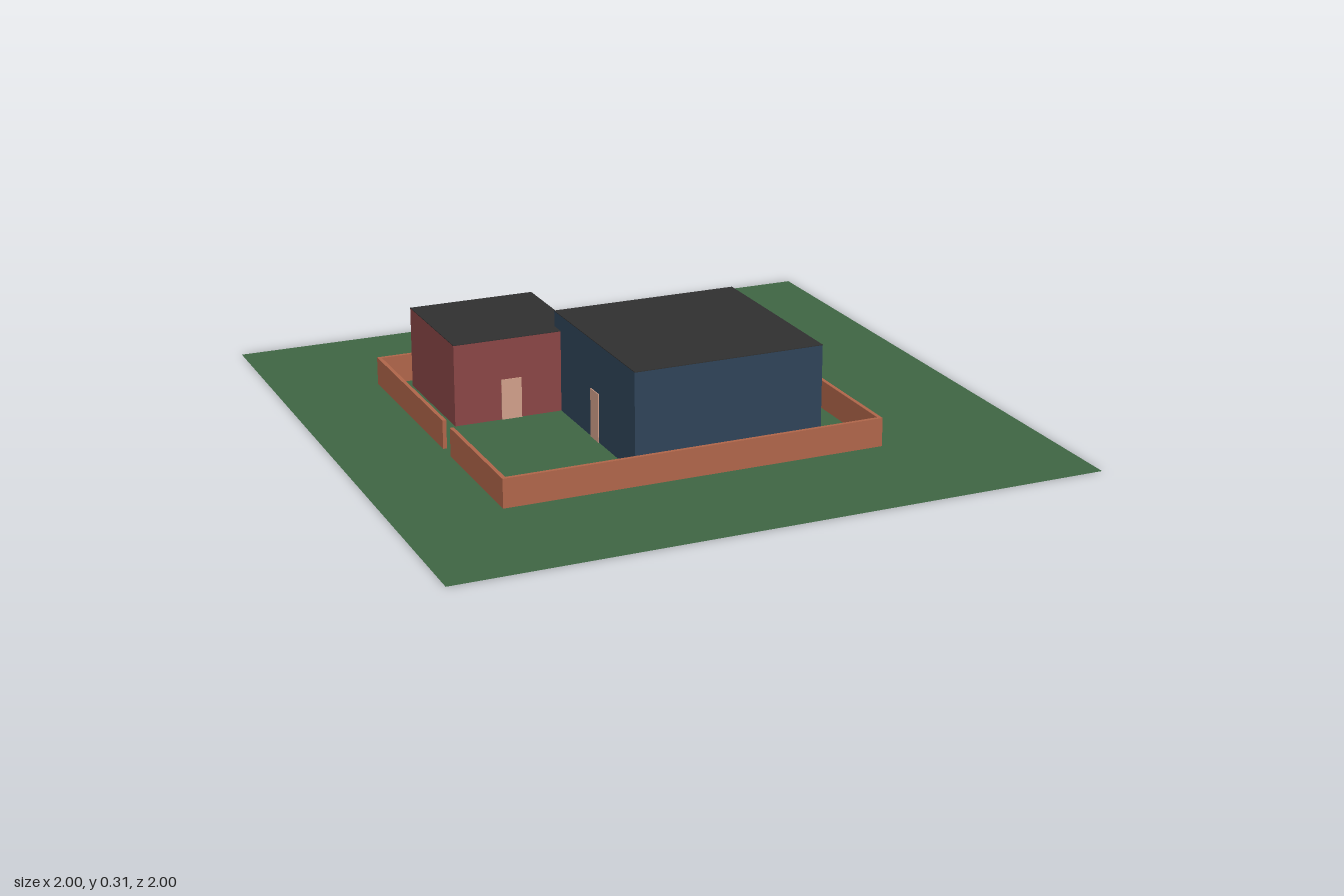
import * as THREE from 'three';

const mat = (color) => new THREE.MeshStandardMaterial({ color, flatShading: true });
const COLORS = {
  grass: mat(0x3f6644), brick: mat(0xb0664a), blue: mat(0x2f4459),
  red: mat(0x8a4646), roof: mat(0x303030), door: mat(0xd2a08a),
};
COLORS.grass.side = THREE.DoubleSide;

// Box given by its extents on each axis
function block(name, material, [x0, x1], [y0, y1], [z0, z1]) {
  const mesh = new THREE.Mesh(new THREE.BoxGeometry(x1 - x0, y1 - y0, z1 - z0), material);
  mesh.position.set((x0 + x1) / 2, (y0 + y1) / 2, (z0 + z1) / 2);
  mesh.name = name;
  return mesh;
}

// Plain house: coloured walls under a thin flat roof
function house(name, material, x, z, height) {
  const group = new THREE.Group();
  group.name = name;
  group.add(
    block('houseWalls', material, x, [0.002, height - 0.002], z),
    block('flatRoof', COLORS.roof, x, [height - 0.002, height], z),
  );
  return group;
}

export function createModel() {
  const model = new THREE.Group();
  model.name = 'walledYard';

  // Lawn
  const lawn = new THREE.Mesh(new THREE.PlaneGeometry(2, 2).rotateX(-Math.PI / 2), COLORS.grass);
  lawn.position.y = 0.001;
  lawn.name = 'lawn';
  model.add(lawn);

  // Perimeter wall, with a gap in the back, left and right runs
  const wall = new THREE.Group();
  wall.name = 'perimeterWall';
  const t = 0.012, [x0, x1, z0, z1] = [-0.68, 0.515, -0.55, 0.57];
  const runX = (z, ...spans) => spans.forEach((s) =>
    wall.add(block('wallRun', COLORS.brick, s, [0, 0.09], [z, z + t])));
  const runZ = (x, ...spans) => spans.forEach((s) =>
    wall.add(block('wallRun', COLORS.brick, [x, x + t], [0, 0.09], s)));
  runX(z1 - t, [x0, x1]);
  runX(z0, [x0, -0.055], [0.005, x1]);
  runZ(x0, [z0 + t, 0.07], [0.135, z1 - t]);
  runZ(x1 - t, [z0 + t, -0.058], [0.005, z1 - t]);
  model.add(wall);

  // Houses
  const large = house('largeHouse', COLORS.blue, [-0.24, 0.36], [-0.14, 0.475], 0.31);
  const small = house('smallHouse', COLORS.red, [-0.585, -0.18], [-0.49, -0.09], 0.26);

  // Doors, almost flush with the house walls
  large.add(
    block('sideDoor', COLORS.door, [0.358, 0.363], [0.002, 0.155], [-0.04, 0.025]),
    block('sideDoor', COLORS.door, [-0.243, -0.238], [0.002, 0.155], [0.15, 0.21]),
  );
  small.add(block('frontDoor', COLORS.door, [-0.435, -0.37], [0.002, 0.13], [-0.092, -0.087]));
  model.add(large, small);
  return model;
}
